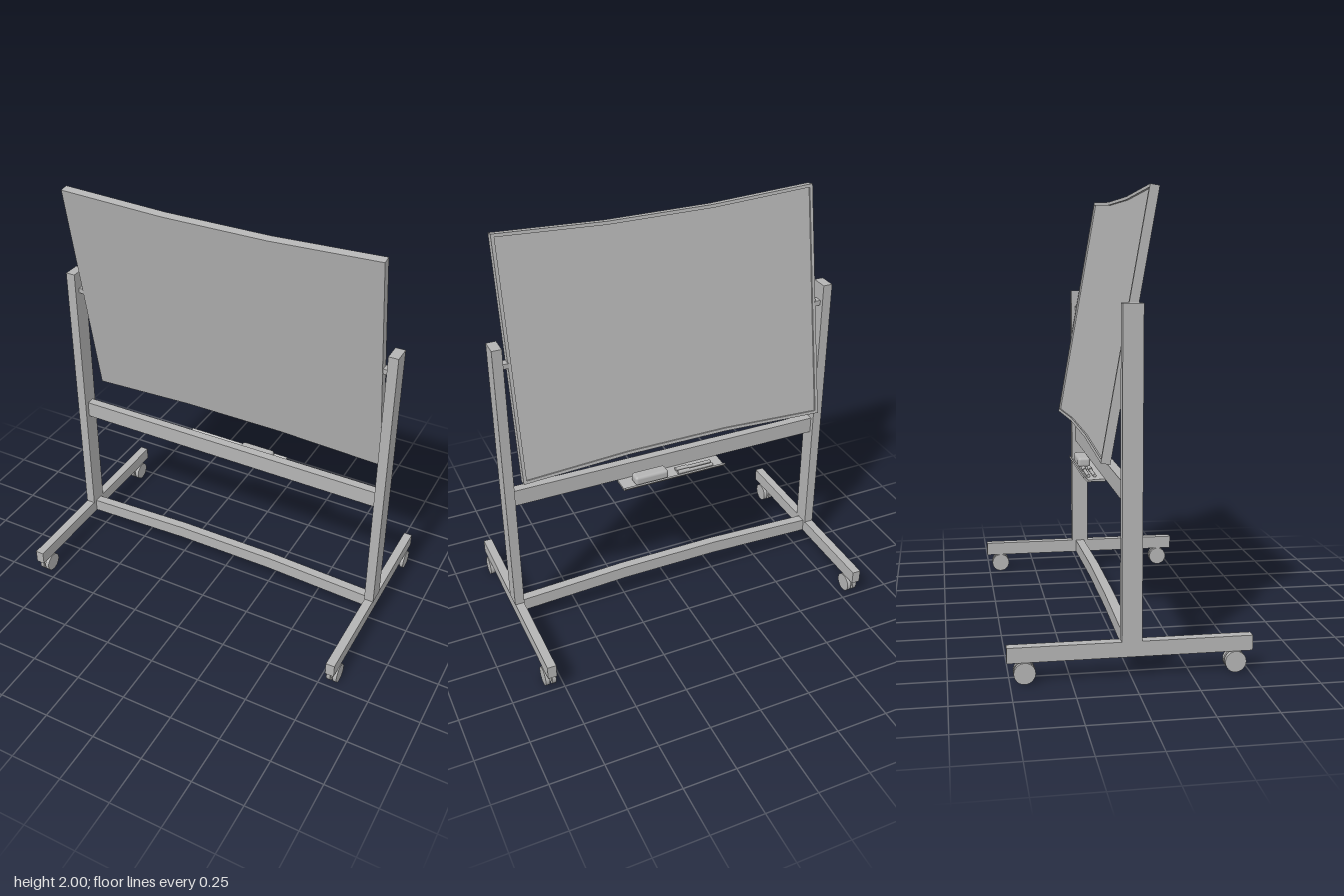
import * as THREE from 'three';
import { RoundedBoxGeometry } from 'three/addons/geometries/RoundedBoxGeometry.js';

const grey = new THREE.MeshStandardMaterial({ color: 0xb4b4b4 });
grey.name = 'grey metal';

function add(parent, name, geometry, x = 0, y = 0, z = 0) {
  const mesh = new THREE.Mesh(geometry, grey);
  mesh.name = name;
  mesh.position.set(x, y, z);
  parent.add(mesh);
  return mesh;
}

const box = (w, h, d) => new THREE.BoxGeometry(w, h, d);
const toPoints = (list) => list.map(([x, y]) => new THREE.Vector2(x, y));
const extrude = (shape, depth) => new THREE.ExtrudeGeometry(shape, { depth, bevelEnabled: false });

// Board outline whose long edges bow inwards in three straight runs
function boardOutline(inset) {
  const w = 0.76 - inset, h = 0.565 - inset, m = 0.542 - inset, q = 0.25;
  return toPoints([[-w, -h], [-q, -m], [q, -m], [w, -h], [w, h], [q, m], [-q, m], [-w, h]]);
}

function makeBoard() {
  const board = new THREE.Group();
  board.name = 'tiltingBoard';
  const rim = new THREE.Shape(boardOutline(0));
  rim.holes.push(new THREE.Path(boardOutline(0.015)));
  add(board, 'boardFrame', extrude(rim, 0.04), 0, 0, -0.02);
  // Writing panel is flush at the front and recessed at the back
  add(board, 'boardPanel', extrude(new THREE.Shape(boardOutline(0.015)), 0.032), 0, 0, -0.012);
  board.position.y = 1.44;
  board.rotation.x = 0.175;
  return board;
}

// Twin-disc caster with a hub and a short stem
function makeCaster() {
  const caster = new THREE.Group();
  caster.name = 'caster';
  for (const s of [-1, 1]) {
    add(caster, 'wheelDisc', new THREE.CylinderGeometry(0.045, 0.045, 0.019, 24), s * 0.0155, 0.045).rotation.z = Math.PI / 2;
  }
  add(caster, 'wheelHub', new THREE.CylinderGeometry(0.034, 0.034, 0.014, 20), 0, 0.045).rotation.z = Math.PI / 2;
  add(caster, 'casterStem', new THREE.CylinderGeometry(0.011, 0.011, 0.03, 12), 0, 0.08);
  return caster;
}

function makeSide(s) {
  const side = new THREE.Group();
  side.name = s > 0 ? 'leftStand' : 'rightStand';
  add(side, 'post', box(0.046, 1.382, 0.085), s * 0.809, 0.844, 0.001);
  add(side, 'foot', box(0.042, 0.065, 1.025), s * 0.809, 0.1225, 0);
  add(side, 'pivot', box(0.04, 0.024, 0.038), s * 0.775, 1.44, -0.003);
  for (const z of [-0.44, 0.44]) {
    const caster = makeCaster();
    caster.position.set(s * 0.809, 0, z);
    side.add(caster);
  }
  return side;
}

function makeTray() {
  const tray = new THREE.Group();
  tray.name = 'penTray';
  // Sheet profile with an upturned rear lip
  const profile = new THREE.Shape(toPoints([[0.018, 0.704], [0.102, 0.704], [0.12, 0.722], [0.117, 0.73], [0.098, 0.712], [0.018, 0.716]]));
  add(tray, 'traySheet', extrude(profile, 0.525), -0.25, 0, 0).rotation.y = Math.PI / 2;
  add(tray, 'eraser', new RoundedBoxGeometry(0.17, 0.046, 0.06, 3, 0.014), 0.13, 0.736, -0.075);
  for (const z of [-0.06, -0.088]) {
    add(tray, 'pen', new THREE.CylinderGeometry(0.008, 0.008, 0.13, 12), -0.13, 0.72, z).rotation.z = Math.PI / 2;
    add(tray, 'penCap', new THREE.CylinderGeometry(0.01, 0.01, 0.06, 12), -0.04, 0.722, z).rotation.z = Math.PI / 2;
  }
  return tray;
}

export function createModel() {
  const model = new THREE.Group();
  model.name = 'mobileWhiteboard';
  model.add(makeBoard(), makeSide(1), makeSide(-1), makeTray());

  add(model, 'middleRail', box(1.576, 0.081, 0.042), 0, 0.756, 0);

  // Lower rail arches up in three straight runs
  const arch = new THREE.Shape(toPoints([
    [-0.79, 0.091], [-0.25, 0.113], [0.25, 0.113], [0.79, 0.091],
    [0.79, 0.155], [0.25, 0.177], [-0.25, 0.177], [-0.79, 0.155],
  ]));
  add(model, 'lowerRail', extrude(arch, 0.044), 0, 0, -0.022);
  return model;
}
